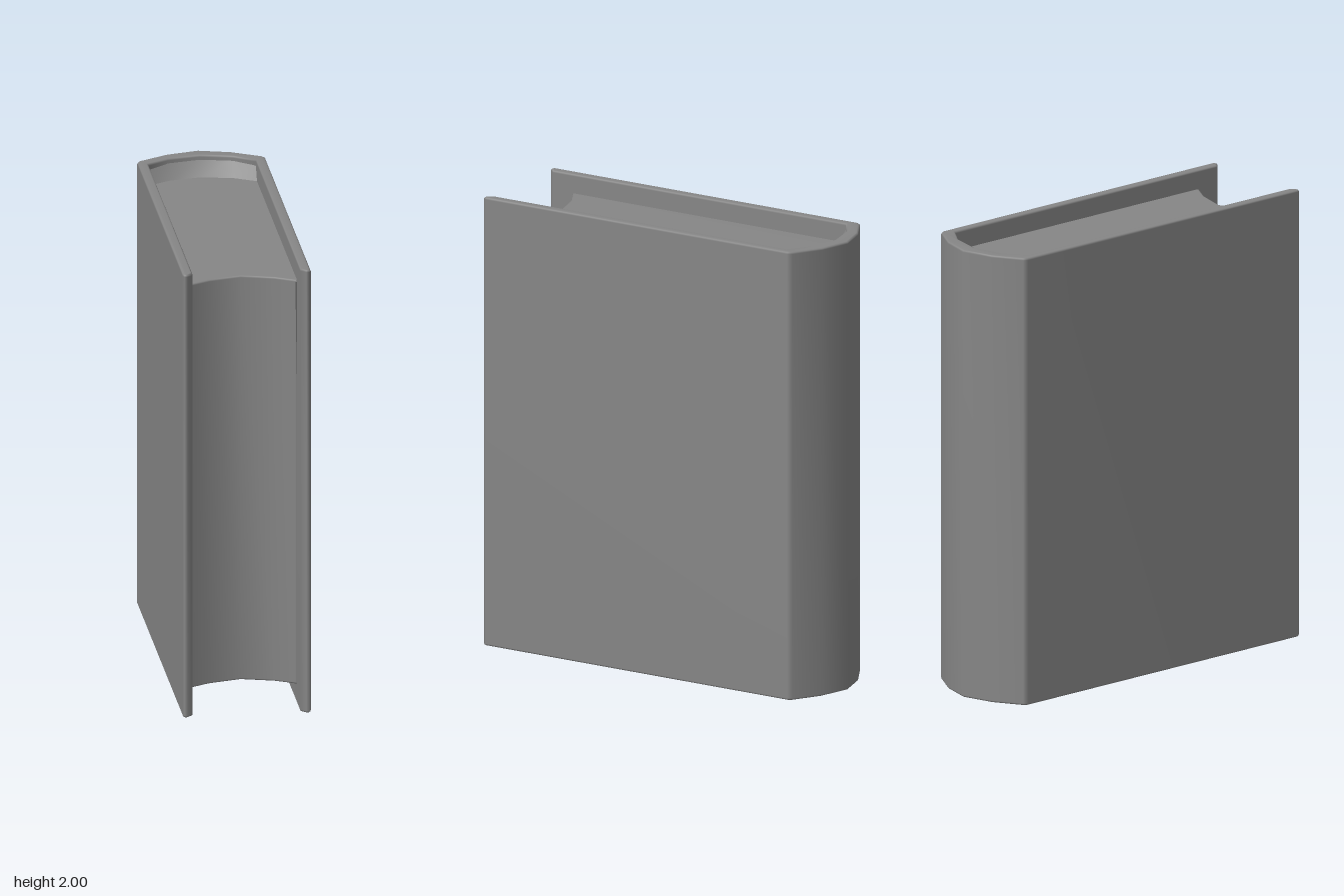
import * as THREE from 'three';
import { mergeVertices } from 'three/addons/utils/BufferGeometryUtils.js';

// Mirror a half outline of [x, z] points (starting and ending on x = 0) into a closed one.
function mirrorOutline(half) {
  const other = half.filter(([x]) => x > 0).reverse().map(([x, z]) => [-x, z]);
  return [...half, ...other];
}

// Extrude a plan outline upwards from y0 to y1 with rounded ends and area-weighted smooth normals.
function extrudePlan(outline, y0, y1, bevel) {
  const shape = new THREE.Shape(outline.map(([x, z]) => new THREE.Vector2(x, -z)));
  const geometry = new THREE.ExtrudeGeometry(shape, {
    depth: y1 - y0 - 2 * bevel,
    bevelThickness: bevel,
    bevelSize: bevel,
    bevelOffset: -bevel,
    bevelSegments: 2,
  });
  geometry.rotateX(-Math.PI / 2).translate(0, y0 + bevel, 0);
  geometry.deleteAttribute('normal');
  geometry.deleteAttribute('uv');
  const smooth = mergeVertices(geometry);
  smooth.computeVertexNormals();
  return smooth;
}

export function createModel() {
  const model = new THREE.Group();
  model.name = 'book';
  const grey = new THREE.MeshStandardMaterial({ color: 0x868686 });
  const greyDouble = new THREE.MeshStandardMaterial({ color: 0x868686, side: THREE.DoubleSide });

  const add = (name, geometry, material = grey) => {
    const mesh = new THREE.Mesh(geometry, material);
    mesh.name = name;
    model.add(mesh);
  };

  // Cover: two boards joined by a rounded spine
  const cover = mirrorOutline([
    [0, -0.845], [0.14, -0.807], [0.265, -0.735], [0.277, -0.715],
    [0.277, 0.83], [0.27, 0.843], [0.256, 0.843], [0.232, 0.818],
    [0.232, -0.683], [0.14, -0.745], [0, -0.777],
  ]);
  add('cover', extrudePlan(cover, 0, 2, 0.009));

  // Page block with a hollow fore edge; its sides are sunk into the cover
  const pages = mirrorOutline([
    [0, -0.75], [0.14, -0.72], [0.25, -0.66],
    [0.25, 0.728], [0.225, 0.712], [0.14, 0.664], [0, 0.624],
  ]);
  add('pages', extrudePlan(pages, 0.09, 1.915, 0.008));

  // Sloping bands from the spine rim down to the pages, at both ends
  const rim = [[0.236, -0.689], [0.14, -0.75], [0, -0.782]];
  const foot = [[0.236, -0.64], [0.14, -0.695], [0, -0.725]];
  for (const [name, end] of [['topSpineBand', 1], ['bottomSpineBand', -1]]) {
    const band = new THREE.PlaneGeometry(1, 1, 4, 1);
    const position = band.attributes.position;
    for (let i = 0; i < position.count; i++) {
      const column = (i % 5) - 2;
      const upper = i < 5;
      const [x, z] = (upper ? rim : foot)[2 - Math.abs(column)];
      position.setXYZ(i, Math.sign(column) * x, 1 + end * (upper ? 0.985 : 0.91), z);
    }
    band.computeVertexNormals();
    add(name, band, greyDouble);
  }

  return model;
}
